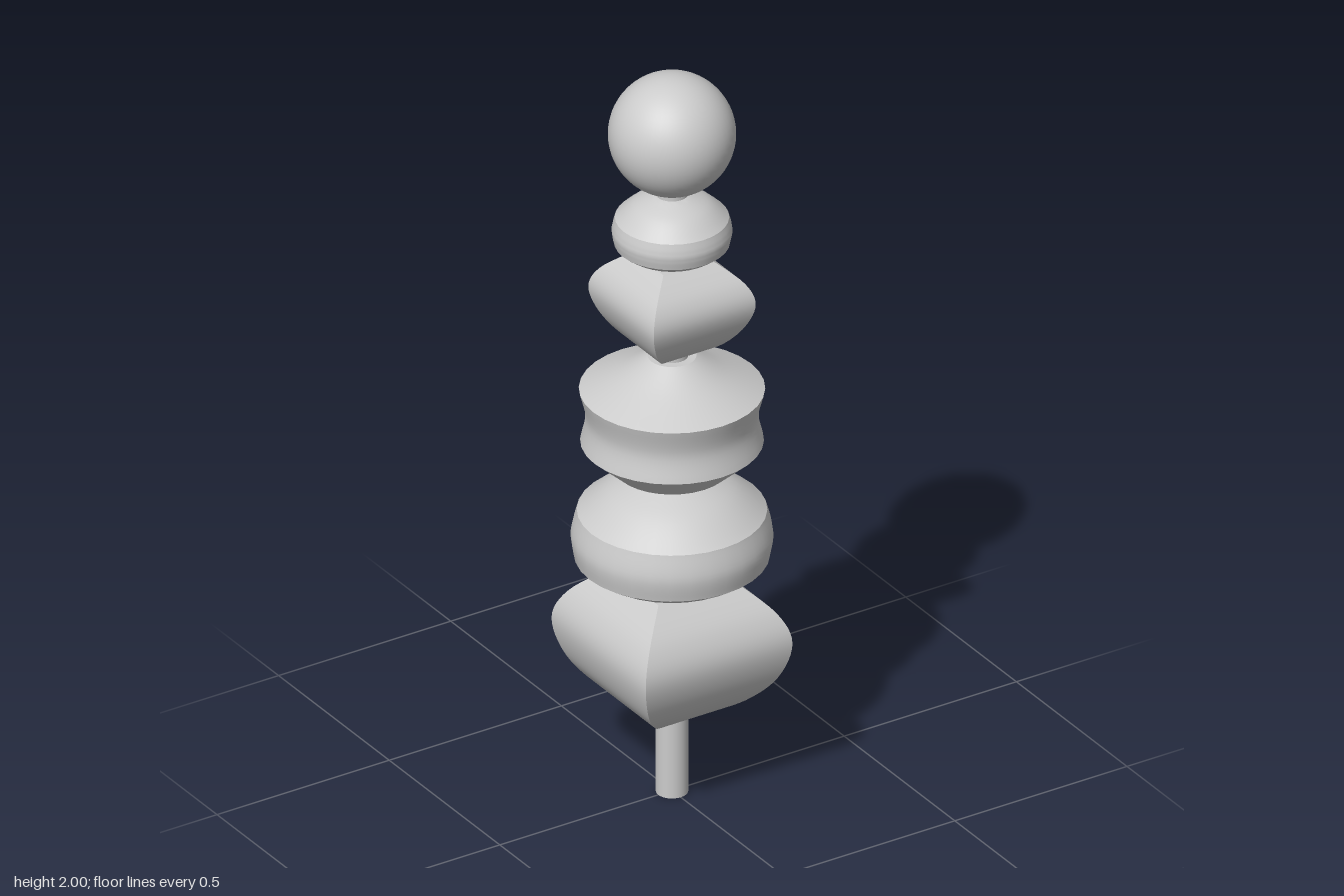
import * as THREE from 'three';
import { toCreasedNormals } from 'three/addons/utils/BufferGeometryUtils.js';

const material = new THREE.MeshStandardMaterial({ color: 0xcccccc });

// Closed bead turned from profile sections (bottom to top); each section is a smooth
// curve through [radius, height] points and creases where it meets the next.
function bead(name, sections, square = false) {
  const scale = square ? Math.SQRT2 : 1;
  const points = [];
  for (const section of sections) {
    const curve = new THREE.SplineCurve(section.map(([r, y]) => new THREE.Vector2(r * scale, y)));
    const steps = section.length > 2 ? (section.length - 1) * 6 : 1;
    curve.getPoints(steps).forEach((p, i) => {
      if (i > 0 || points.length === 0) points.push(p);
    });
  }
  // flat ends
  points.unshift(new THREE.Vector2(0, points[0].y));
  points.push(new THREE.Vector2(0, points[points.length - 1].y));

  const lathe = new THREE.LatheGeometry(points, square ? 4 : 32, square ? Math.PI / 4 : 0);
  const mesh = new THREE.Mesh(toCreasedNormals(lathe, 0.42), material);
  mesh.name = name;
  return mesh;
}

export function createModel() {
  const group = new THREE.Group();
  group.name = 'stackedBeads';

  // Central rod running up into the ball
  const rod = new THREE.Mesh(new THREE.CylinderGeometry(0.04, 0.04, 1.75, 32), material);
  rod.name = 'rod';
  rod.position.y = 0.875;
  group.add(rod);

  // Large four-sided bead
  group.add(bead('largeSquareBead', [
    [[0.055, 0.225], [0.13, 0.275], [0.188, 0.35], [0.213, 0.45], [0.184, 0.53], [0.11, 0.605]],
  ], true));

  // Large domed disc
  group.add(bead('largeDisc', [
    [[0.15, 0.62], [0.19, 0.633], [0.24, 0.665]],
    [[0.24, 0.665], [0.248, 0.725], [0.233, 0.79]],
    [[0.233, 0.79], [0.155, 0.85], [0.06, 0.892]],
  ]));

  // Waisted bead with sloping top and base
  group.add(bead('waistedBead', [
    [[0.145, 0.912], [0.225, 0.985]],
    [[0.225, 0.985], [0.212, 1.055], [0.228, 1.13]],
    [[0.228, 1.13], [0.13, 1.178], [0.06, 1.222]],
  ]));

  // Small four-sided bead
  group.add(bead('smallSquareBead', [
    [[0.04, 1.235], [0.09, 1.268], [0.13, 1.325], [0.148, 1.39], [0.128, 1.445], [0.07, 1.5]],
  ], true));

  // Small domed disc
  group.add(bead('smallDisc', [
    [[0.09, 1.512], [0.115, 1.52], [0.142, 1.54]],
    [[0.142, 1.54], [0.148, 1.575], [0.14, 1.61]],
    [[0.14, 1.61], [0.095, 1.65], [0.04, 1.675]],
  ]));

  // Ball on top
  const ball = new THREE.Mesh(new THREE.SphereGeometry(0.157, 48, 32), material);
  ball.name = 'topBall';
  ball.position.y = 1.843;
  group.add(ball);

  return group;
}
